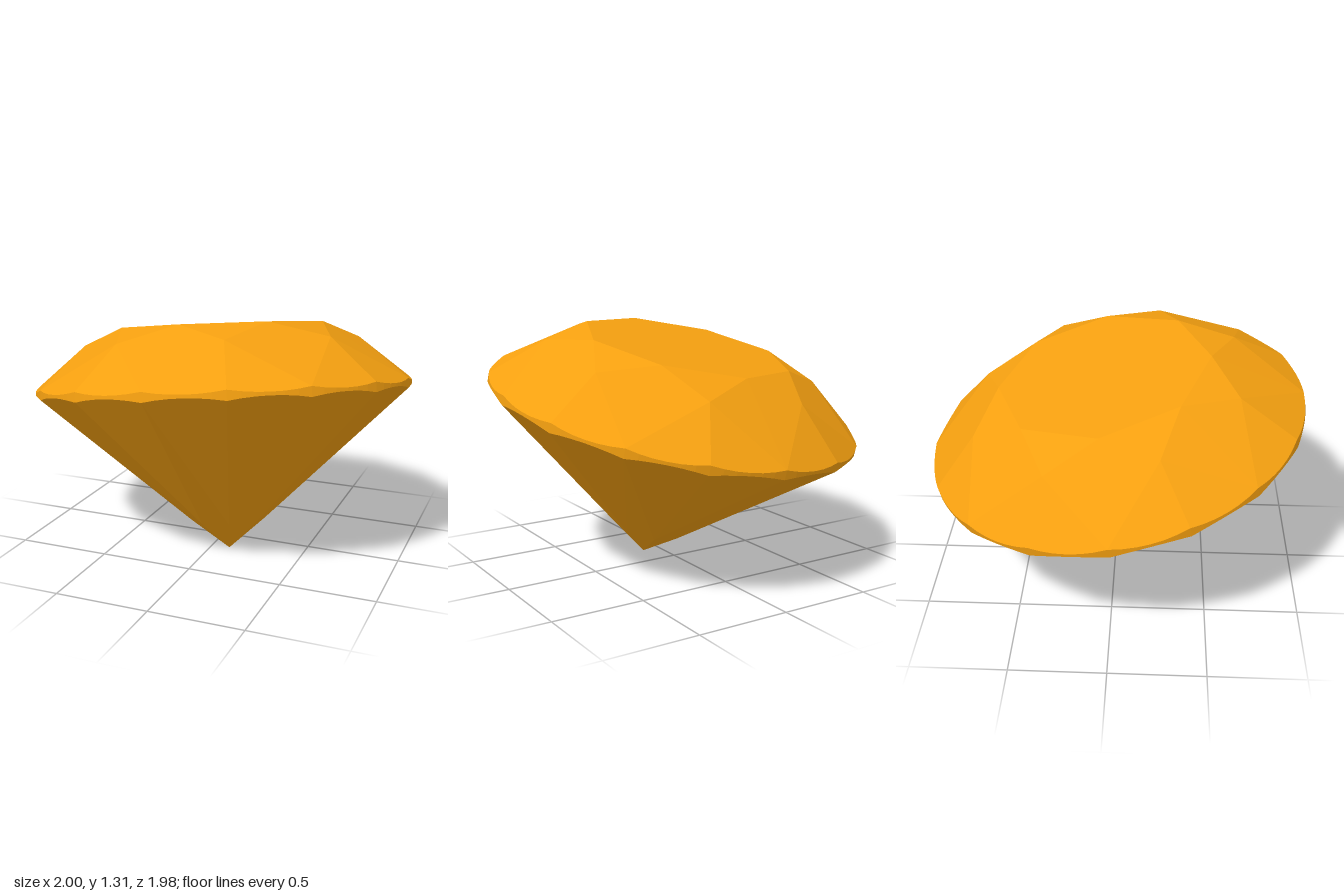
import * as THREE from 'three';

const R = 1.006;          // girdle radius
const EDGE = 0.025;       // half thickness of the girdle at its thick points
const STEPS = 6;          // arc steps per girdle facet
const STEP = Math.PI / 8; // sixteen divisions round the stone

// Point at division k (may be fractional), radius r and height y
const at = (k, r, y) => new THREE.Vector3(r * Math.cos(k * STEP), y, r * Math.sin(k * STEP));

// Flat mesh from convex facets, each fanned and turned to face outwards
function facetMesh(name, facets, material) {
  const pos = [];
  for (const f of facets) {
    for (let i = 1; i < f.length - 1; i++) {
      const [a, b, c] = [f[0], f[i], f[i + 1]];
      const n = b.clone().sub(a).cross(c.clone().sub(a));
      const out = n.dot(a) > 0 ? [a, b, c] : [a, c, b];
      out.forEach((p) => pos.push(p.x, p.y, p.z));
    }
  }
  const geo = new THREE.BufferGeometry();
  geo.setAttribute('position', new THREE.Float32BufferAttribute(pos, 3));
  geo.computeVertexNormals();
  const mesh = new THREE.Mesh(geo, material);
  mesh.name = name;
  return mesh;
}

// Scalloped edge where the plane through apex and two girdle points cuts the round girdle
function scallop(k, apex, y) {
  const plane = new THREE.Plane().setFromCoplanarPoints(apex, at(k, R, y), at(k + 1, R, y));
  const arc = [];
  for (let i = 0; i <= STEPS; i++) {
    const p = at(k + i / STEPS, R, 0);
    p.y = -(plane.constant + plane.normal.x * p.x + plane.normal.z * p.z) / plane.normal.y;
    arc.push(p);
  }
  return arc;
}

export function createModel() {
  const material = new THREE.MeshStandardMaterial({ color: 0xf5a010, flatShading: true });
  const tableR = 0.565, tableY = 0.33;
  const starR = 0.742, starY = 0.245;
  const lowR = 0.2, culetY = -0.89;
  const lowY = culetY + ((-EDGE - culetY) / R) * lowR * Math.cos(STEP);
  const culet = new THREE.Vector3(0, culetY, 0);

  const table = [[]], stars = [], bezels = [], upper = [], girdle = [], lower = [], mains = [];
  for (let k = 0; k < 16; k += 2) {
    const corner = at(k, tableR, tableY);
    table[0].push(corner);
    // Star triangles and kites of the crown
    stars.push([corner, at(k + 1, starR, starY), at(k + 2, tableR, tableY)]);
    bezels.push([corner, at(k - 1, starR, starY), at(k, R, EDGE), at(k + 1, starR, starY)]);
    // Long narrow kites of the pavilion
    mains.push([culet, at(k - 1, lowR, lowY), at(k, R, -EDGE), at(k + 1, lowR, lowY)]);
    // Paired halves above and below the girdle, and the band between them
    for (const j of [k, k + 1]) {
      const topApex = at(k + 1, starR, starY), lowApex = at(k + 1, lowR, lowY);
      const top = scallop(j, topApex, EDGE), low = scallop(j, lowApex, -EDGE);
      upper.push([topApex, ...top]);
      lower.push([lowApex, ...low]);
      for (let i = 0; i < STEPS; i++) girdle.push([low[i], low[i + 1], top[i + 1], top[i]]);
    }
  }

  const gem = new THREE.Group();
  gem.name = 'gem';
  const parts = { table, starFacets: stars, bezelFacets: bezels, upperGirdleFacets: upper,
    girdle, lowerGirdleFacets: lower, pavilionMainFacets: mains };
  for (const [name, facets] of Object.entries(parts)) gem.add(facetMesh(name, facets, material));

  // Tilt the stone on its tip
  const axis = new THREE.Vector3(-0.112, 0.975, -0.19).normalize();
  gem.quaternion.setFromUnitVectors(new THREE.Vector3(0, 1, 0), axis);
  gem.position.y = -culetY * axis.y;

  const model = new THREE.Group();
  model.name = 'brilliantCutGem';
  model.add(gem);
  return model;
}
